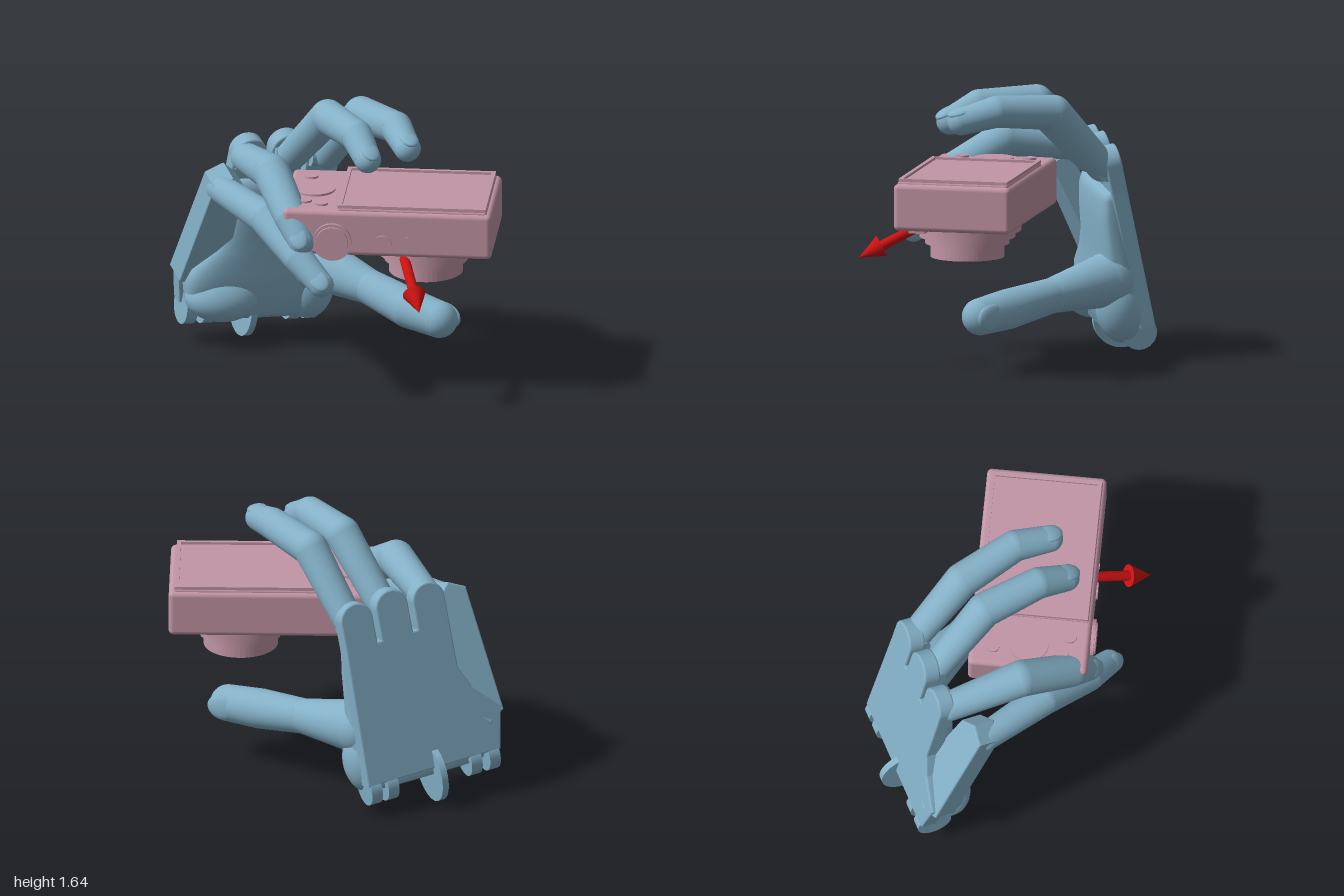
import * as THREE from 'three';
import { RoundedBoxGeometry } from 'three/addons/geometries/RoundedBoxGeometry.js';

const V = (a) => new THREE.Vector3(...a);
const UP = new THREE.Vector3(0, 1, 0);
const skin = new THREE.MeshStandardMaterial({ color: 0x84b0c7 });
const pink = new THREE.MeshStandardMaterial({ color: 0xc295a5 });
const red = new THREE.MeshStandardMaterial({ color: 0xcc1111 });

function add(parent, name, geometry, material, pos = [0, 0, 0], rot = [0, 0, 0]) {
  const mesh = new THREE.Mesh(geometry, material);
  mesh.name = name;
  mesh.position.set(...pos);
  mesh.rotation.set(...rot);
  parent.add(mesh);
  return mesh;
}

// Tapered rod from a to b
function rod(parent, name, a, b, ra, rb, material) {
  const dir = b.clone().sub(a);
  const mesh = add(parent, name, new THREE.CylinderGeometry(rb, ra, dir.length(), 28), material);
  mesh.position.copy(a).addScaledVector(dir, 0.5);
  mesh.quaternion.setFromUnitVectors(UP, dir.normalize());
}

// Jointed digit: tapered bones, round joints and a nail set into the tip
function digit(parent, name, path, radii, nailDir) {
  const g = new THREE.Group();
  g.name = name;
  const pts = path.map(V);
  pts.forEach((p, i) => {
    add(g, 'joint', new THREE.SphereGeometry(radii[i], 28, 18), skin, p.toArray());
    if (i) rod(g, 'bone', pts[i - 1], p, radii[i - 1], radii[i], skin);
  });
  const n = pts.length - 1, r = radii[n];
  const along = pts[n].clone().sub(pts[n - 1]).normalize();
  const out = V(nailDir);
  out.addScaledVector(along, -out.dot(along)).normalize();
  const nail = add(g, 'nail', new THREE.SphereGeometry(1, 20, 12), skin);
  nail.scale.set(r * 0.72, r * 0.95, r * 0.3);
  nail.quaternion.setFromRotationMatrix(
    new THREE.Matrix4().makeBasis(along.clone().cross(out), along, out));
  nail.position.copy(pts[n]).addScaledVector(out, r * 0.74).addScaledVector(along, -r * 0.1);
  parent.add(g);
}

// Closed loft; each row is [height, left, right, thickness]
function palmLoft(rows, seg = 40) {
  const pos = [], idx = [];
  const pw = (x, e) => Math.sign(x) * Math.abs(x) ** e;
  for (const [v, l, r, t] of rows) {
    for (let i = 0; i < seg; i++) {
      const a = (i / seg) * Math.PI * 2;
      pos.push((l + r) / 2 + (r - l) / 2 * pw(Math.cos(a), 0.55), v,
        0.03 + (t - 0.03) / 2 * (1 + pw(Math.sin(a), 0.6)));
    }
  }
  const last = (rows.length - 1) * seg, c = rows.length * seg;
  for (const [v, l, r, t] of [rows[0], rows[rows.length - 1]]) pos.push((l + r) / 2, v, t / 2);
  for (let i = 0; i < seg; i++) {
    const j = (i + 1) % seg;
    for (let k = 0; k < last; k += seg) {
      idx.push(k + i, k + seg + i, k + j, k + j, k + seg + i, k + seg + j);
    }
    idx.push(c, i, j, c + 1, last + j, last + i);
  }
  const g = new THREE.BufferGeometry();
  g.setAttribute('position', new THREE.Float32BufferAttribute(pos, 3));
  g.setIndex(idx);
  g.computeVertexNormals();
  return g;
}

function makeHand() {
  const hand = new THREE.Group();
  hand.name = 'hand';

  // Palm frame: x across towards the thumb, y towards the fingers, z out of the palm
  const palm = new THREE.Group();
  palm.name = 'palm';
  const x = V([0.888, -0.092, -0.459]).normalize();
  const z = x.clone().cross(V([0.18, 0.972, 0.153])).normalize();
  palm.quaternion.setFromRotationMatrix(new THREE.Matrix4().makeBasis(x, z.clone().cross(x), z));
  palm.position.set(-0.57, 0.13, -0.64);
  hand.add(palm);

  // Flat back plate ending in rounded knuckle tabs
  const knuckles = [[0.275, 1.11], [0.04, 1.13], [-0.2, 1.11]];
  const plate = new THREE.Shape();
  plate.moveTo(-0.47, 0.11);
  plate.lineTo(0.39, 0.11);
  for (const [u, v] of knuckles) {
    plate.lineTo(u + 0.095, 0.94);
    plate.absarc(u, v, 0.095, 0, Math.PI, false);
    plate.lineTo(u - 0.095, 0.94);
  }
  plate.lineTo(-0.295, 0.66);
  plate.lineTo(-0.36, 0.52);
  plate.lineTo(-0.52, 0.36);
  const bevel = { bevelThickness: 0.01, bevelSize: 0.01, bevelSegments: 2, curveSegments: 16 };
  add(palm, 'backPlate', new THREE.ExtrudeGeometry(plate, { depth: 0.08, ...bevel }), skin, [0, 0, 0.01]);
  add(palm, 'palmFlesh', palmLoft([
    [0.06, -0.4, 0.35, 0.24], [0.12, -0.46, 0.39, 0.29], [0.28, -0.5, 0.41, 0.29],
    [0.38, -0.48, 0.41, 0.27], [0.5, -0.36, 0.4, 0.24], [0.62, -0.29, 0.39, 0.22],
    [0.78, -0.28, 0.38, 0.2], [0.9, -0.28, 0.37, 0.17], [0.95, -0.27, 0.36, 0.14]]), skin);

  // Pads at the root of the thumb and at the heel of the hand
  add(palm, 'thumbPad', new THREE.SphereGeometry(1, 32, 20), skin, [0.31, 0.22, 0.18]).scale.set(0.14, 0.2, 0.14);
  add(palm, 'heelPad', new THREE.SphereGeometry(1, 32, 20), skin, [-0.26, 0.19, 0.2]).scale.set(0.23, 0.14, 0.17);

  // Tilted outer plate carrying the little finger, notched where it meets the palm
  const outer = new THREE.Shape([[0, 0], [0.1, -0.06], [0.27, 0.1], [0.2, 0.21], [0.26, 0.3],
    [0.22, 0.72], [0.13, 0.8], [0.03, 0.75]].map((p) => new THREE.Vector2(...p)));
  add(palm, 'outerPlate', new THREE.ExtrudeGeometry(outer, { depth: 0.13, ...bevel }), skin,
    [-0.54, 0.33, 0.03], [0.22, 0.12, 0]);

  // Wrist hinge lugs and the large centre disc
  const lie = [0, 0, Math.PI / 2];
  for (const u of [0.35, 0.24, -0.31, -0.43]) {
    add(palm, 'wristLug', new THREE.CylinderGeometry(0.105, 0.105, 0.07, 28), skin, [u, 0.075, 0.1], lie);
    add(palm, 'wristLugArm', new THREE.BoxGeometry(0.07, 0.14, 0.2), skin, [u, 0.13, 0.1]);
  }
  add(palm, 'wristDisc', new THREE.CylinderGeometry(0.18, 0.18, 0.04, 40), skin, [-0.06, 0.06, 0.1], lie);

  // Hinge pins at the knuckles
  for (const [u, v] of knuckles) {
    add(palm, 'knucklePin', new THREE.CylinderGeometry(0.06, 0.06, 0.18, 24), skin, [u, v - 0.03, 0.09], lie);
  }

  digit(hand, 'indexFinger', [[-0.07, 1.15, -0.51], [0.155, 1.5, -0.27], [0.39, 1.53, 0.02], [0.475, 1.475, 0.22]],
    [0.09, 0.105, 0.095, 0.08], [0.2, 1, 0.1]);
  digit(hand, 'middleFinger', [[-0.28, 1.17, -0.38], [-0.03, 1.53, -0.12], [0.17, 1.53, 0.18], [0.25, 1.44, 0.34]],
    [0.09, 0.105, 0.095, 0.08], [0.2, 1, 0.1]);
  digit(hand, 'ringFinger', [[-0.53, 1.2, -0.27], [-0.34, 1.26, 0.13], [-0.2, 1.09, 0.41], [-0.13, 0.97, 0.51]],
    [0.09, 0.11, 0.1, 0.078], [-0.1, 0.5, 1]);
  digit(hand, 'littleFinger', [[-0.66, 1.08, -0.05], [-0.365, 1.025, 0.27], [-0.15, 0.87, 0.51], [0, 0.745, 0.62]],
    [0.085, 0.1, 0.09, 0.075], [0.1, 0.5, 1]);
  digit(hand, 'thumb', [[-0.15, 0.46, -0.53], [0.2, 0.41, -0.27], [0.46, 0.36, -0.06], [0.65, 0.34, 0.06]],
    [0.165, 0.105, 0.12, 0.11], [0.7, 0, -0.7]);
  return hand;
}

function makeCamera() {
  const cam = new THREE.Group();
  cam.name = 'camera';
  add(cam, 'body', new RoundedBoxGeometry(1.24, 0.28, 0.71, 4, 0.03), pink, [0.38, 1.03, 0.155]);

  // Screen panel with a raised frame
  add(cam, 'screenPanel', new RoundedBoxGeometry(0.89, 0.05, 0.67, 3, 0.015), pink, [0.525, 1.16, 0.155]);
  const rect = (Type, w, h) => new Type([[-w, -h], [w, -h], [w, h], [-w, h]].map((p) => new THREE.Vector2(...p)));
  const frame = rect(THREE.Shape, 0.44, 0.33);
  frame.holes.push(rect(THREE.Path, 0.415, 0.305));
  add(cam, 'screenFrame', new THREE.ExtrudeGeometry(frame, { depth: 0.02, bevelEnabled: false }), pink,
    [0.525, 1.18, 0.155], [-Math.PI / 2, 0, 0]);

  // Control dial and buttons beside the screen
  for (const [px, pz, r] of [[-0.08, 0.15, 0.12], [-0.12, -0.06, 0.04], [-0.12, 0.35, 0.04], [-0.02, 0.39, 0.04]]) {
    add(cam, 'button', new THREE.CylinderGeometry(r, r, 0.02, 36), pink, [px, 1.172, pz]);
  }

  // Shutter ring, power button and slot on the front edge
  const face = [Math.PI / 2, 0, 0];
  add(cam, 'shutterRing', new THREE.CylinderGeometry(0.115, 0.115, 0.03, 40), pink, [0.055, 0.98, 0.515], face);
  add(cam, 'shutterButton', new THREE.CylinderGeometry(0.095, 0.1, 0.03, 40), pink, [0.055, 0.98, 0.525], face);
  add(cam, 'powerButton', new THREE.CylinderGeometry(0.052, 0.052, 0.02, 32), pink, [0.355, 0.975, 0.51], face);
  add(cam, 'slot', new THREE.BoxGeometry(0.02, 0.045, 0.012), pink, [0.5, 1.0, 0.51]);

  // Stepped lens pointing down, its end cap with a square opening
  for (const [r, y0, y1] of [[0.32, 0.85, 0.9], [0.285, 0.81, 0.86], [0.25, 0.77, 0.82], [0.22, 0.74, 0.78]]) {
    add(cam, 'lensRing', new THREE.CylinderGeometry(r, r, y1 - y0, 48), pink, [0.58, (y0 + y1) / 2, 0.155]);
  }
  const cap = new THREE.Shape().absarc(0, 0, 0.22, 0, Math.PI * 2);
  cap.holes.push(rect(THREE.Path, 0.07, 0.05));
  add(cam, 'lensCap', new THREE.ExtrudeGeometry(cap, { depth: 0.055, bevelEnabled: false, curveSegments: 24 }), pink,
    [0.58, 0.69, 0.155], [-Math.PI / 2, 0, 0]);
  add(cam, 'lampPlate', new THREE.BoxGeometry(0.26, 0.03, 0.1), pink, [0.81, 0.885, 0.38]);
  add(cam, 'foot', new THREE.BoxGeometry(0.04, 0.02, 0.04), pink, [0.18, 0.885, 0.4]);
  return cam;
}

function makeArrow() {
  const arrow = new THREE.Group();
  arrow.name = 'arrow';
  const start = V([0.46, 0.89, 0.38]), tip = V([0.6, 0.66, 0.81]);
  const neck = start.clone().lerp(tip, 0.7);
  rod(arrow, 'arrowShaft', start, neck, 0.03, 0.03, red);
  rod(arrow, 'arrowHead', neck, tip, 0.068, 0, red);
  return arrow;
}

export function createModel() {
  const model = new THREE.Group();
  model.name = 'handHoldingCamera';
  model.add(makeHand(), makeCamera(), makeArrow());
  return model;
}
